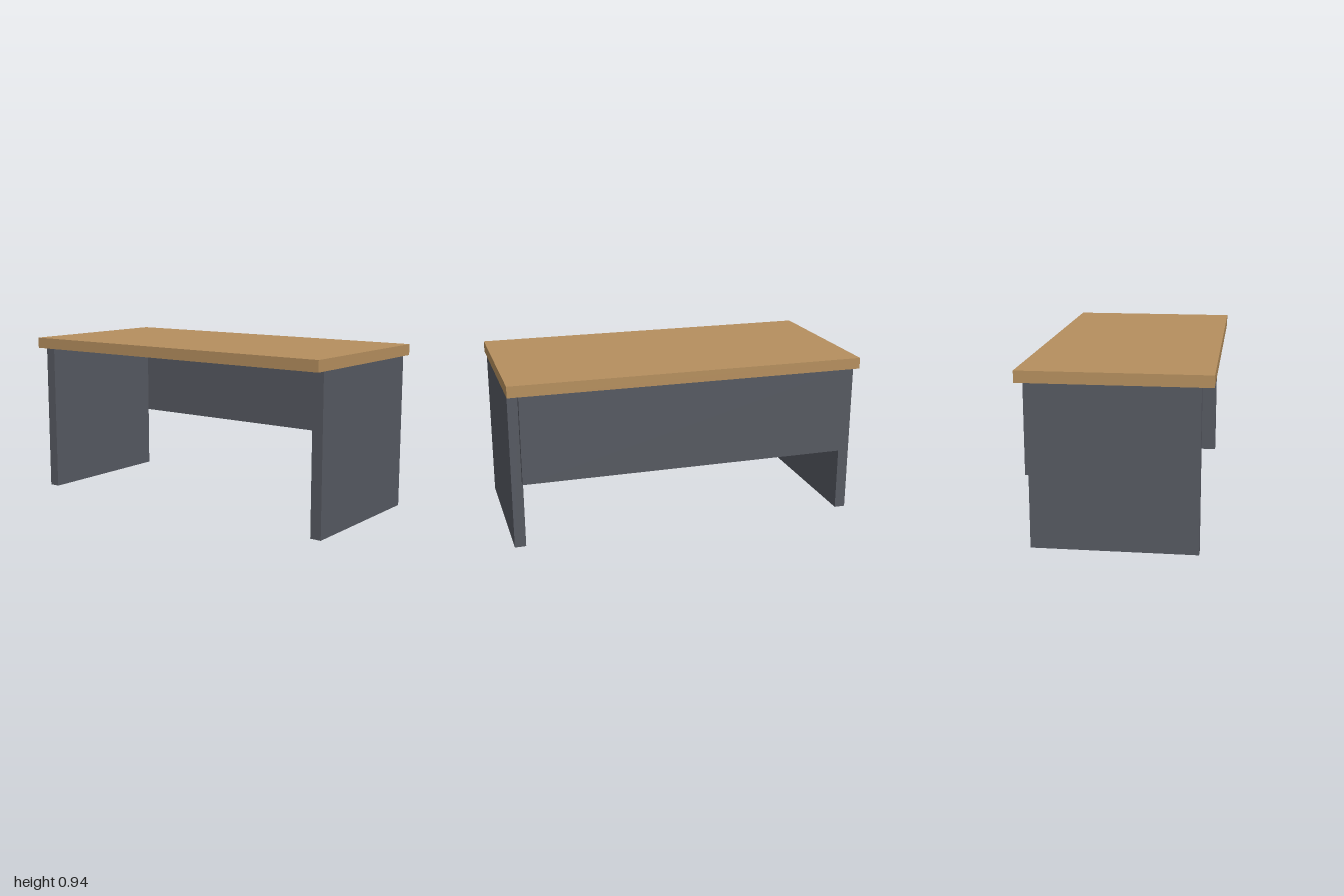
import * as THREE from 'three';

export function createModel() {
  const desk = new THREE.Group();
  desk.name = 'desk';

  const wood = new THREE.MeshStandardMaterial({ name: 'wood', color: 0xb58f5e });
  const greyPanel = new THREE.MeshStandardMaterial({ name: 'greyPanel', color: 0x565961 });

  const addBoard = (name, material, size, position) => {
    const board = new THREE.Mesh(new THREE.BoxGeometry(...size), material);
    board.name = name;
    board.position.set(...position);
    desk.add(board);
  };

  // Overhanging worktop
  addBoard('desktop', wood, [2, 0.0625, 1], [0, 0.90625, 0]);

  // Slab legs at both ends
  for (const [name, side] of [['leftLeg', 1], ['rightLeg', -1]]) {
    addBoard(name, greyPanel, [0.0625, 0.875, 0.875], [side * 0.9625, 0.4375, 0]);
  }

  // Modesty panel fixed to the back edges of the legs
  addBoard('modestyPanel', greyPanel, [1.875, 0.5, 0.03125], [0, 0.625, -0.453125]);

  return desk;
}
